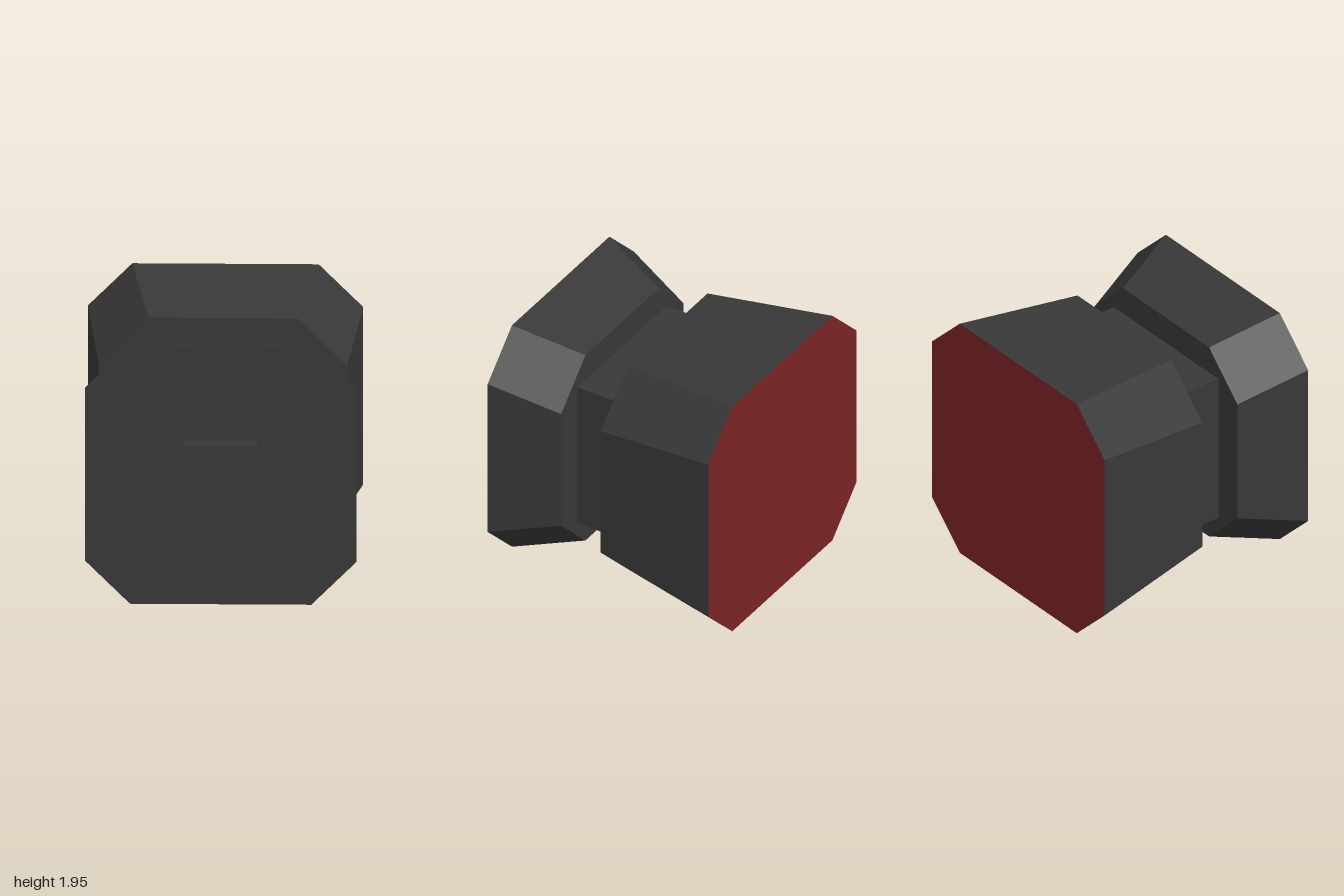
import * as THREE from 'three';

const CY = 0.98; // height of the central axis

// Outline of a square with cut corners, anticlockwise seen from +z
function octagon(h, c, z) {
  return [[c, -h], [h, -c], [h, c], [c, h], [-c, h], [-h, c], [-h, -c], [-c, -h]]
    .map(([x, y]) => [x, y + CY, z]);
}

// Tapered block between two octagons; groups: 0 = sides and front cap, 1 = back cap
function taperedBlock(back, front) {
  const pos = [];
  const tri = (a, b, c) => pos.push(...a, ...b, ...c);
  const n = back.length;
  for (let i = 0; i < n; i++) {
    const j = (i + 1) % n;
    tri(back[i], back[j], front[j]);
    tri(back[i], front[j], front[i]);
  }
  for (let i = 1; i < n - 1; i++) tri(front[0], front[i], front[i + 1]);
  const split = pos.length / 3;
  for (let i = 1; i < n - 1; i++) tri(back[0], back[i + 1], back[i]);
  const geo = new THREE.BufferGeometry();
  geo.setAttribute('position', new THREE.Float32BufferAttribute(pos, 3));
  geo.computeVertexNormals();
  geo.addGroup(0, split, 0);
  geo.addGroup(split, pos.length / 3 - split, 1);
  return geo;
}

export function createModel() {
  const model = new THREE.Group();
  const dark = new THREE.MeshStandardMaterial({ name: 'dark grey', color: 0x383838 });
  const red = new THREE.MeshStandardMaterial({ name: 'deep red', color: 0x7a2424 });

  const add = (name, geo, mat) => {
    const mesh = new THREE.Mesh(geo, mat);
    mesh.name = name;
    model.add(mesh);
    return mesh;
  };
  const block = (name, half, z0, z1) =>
    add(name, new THREE.BoxGeometry(half * 2, half * 2, z1 - z0), dark)
      .position.set(0, CY, (z0 + z1) / 2);

  // Rear housing with the red end face
  add('rearHousing',
    taperedBlock(octagon(0.975, 0.66, -1), octagon(0.88, 0.528, -0.035)), [dark, red]);
  // Square neck joining the two housings
  block('neck', 0.59, -0.035, 0.345);
  // Front housing, flaring forwards
  add('frontHousing',
    taperedBlock(octagon(0.805, 0.485, 0.345), octagon(0.962, 0.642, 0.862)), [dark, dark]);
  // Small square stud on the front
  block('frontStud', 0.258, 0.862, 1);

  return model;
}
